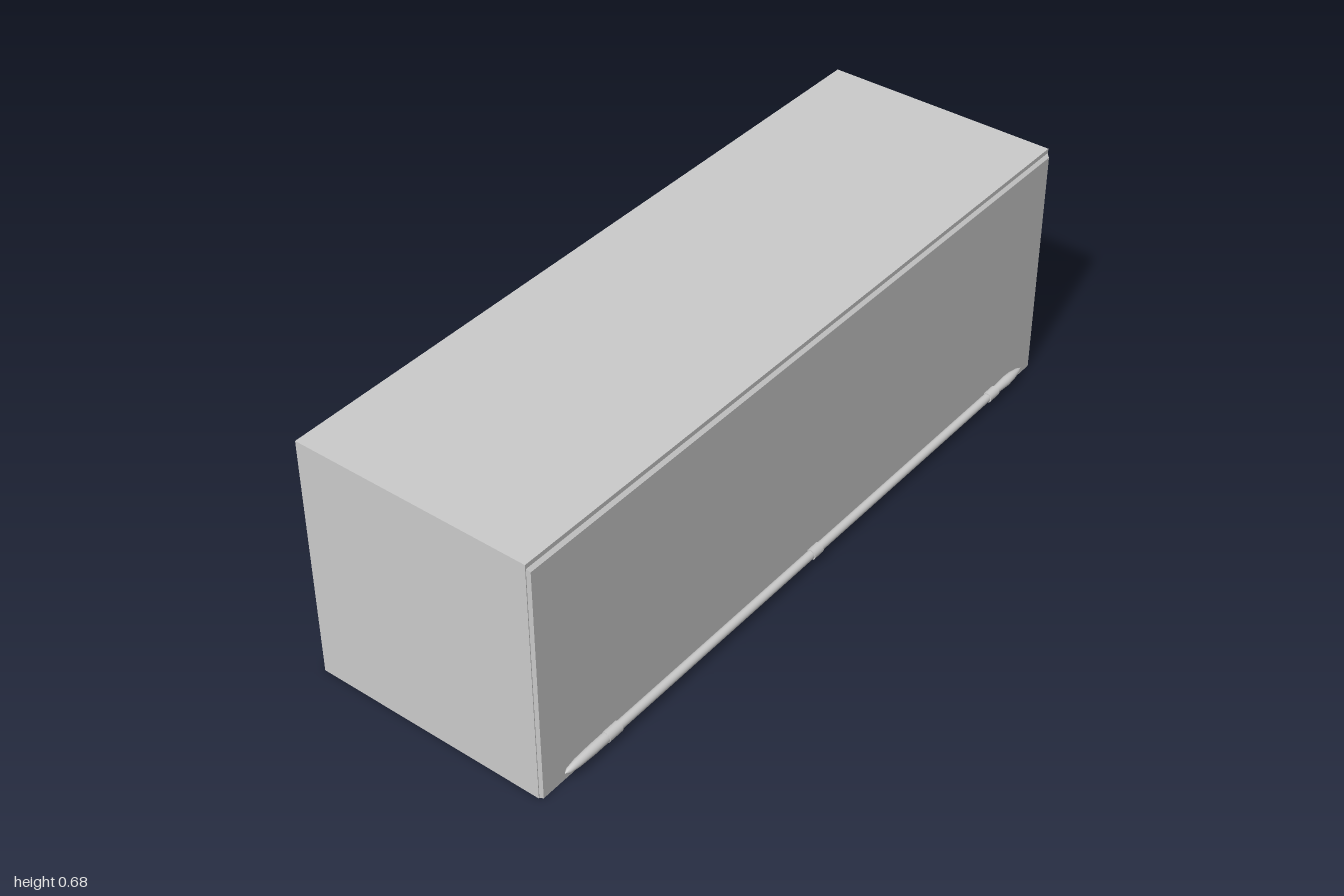
import * as THREE from 'three';

const grey = new THREE.MeshStandardMaterial({ color: 0xcccccc });

function part(name, geometry, x = 0, y = 0, z = 0) {
  const mesh = new THREE.Mesh(geometry, grey);
  mesh.name = name;
  mesh.position.set(x, y, z);
  return mesh;
}

// Thin side slab whose outer face is chamfered along the top and the ends
function sidePanelGeometry() {
  const g = new THREE.BoxGeometry(0.008, 0.663, 1.996);
  const p = g.attributes.position;
  for (let i = 0; i < p.count; i++) {
    if (p.getX(i) < 0) continue;
    if (p.getY(i) > 0) p.setY(i, p.getY(i) - 0.008);
    p.setZ(i, p.getZ(i) - Math.sign(p.getZ(i)) * 0.005);
  }
  g.computeVertexNormals();
  return g;
}

// Lathe profile of [radius, distance] pairs, turned to run along z
function turned(points) {
  const g = new THREE.LatheGeometry(points.map(([r, d]) => new THREE.Vector2(r, d)), 20);
  return g.rotateX(Math.PI / 2);
}

function createRod() {
  const rod = new THREE.Group();
  rod.name = 'sideRod';
  rod.add(part('shaft', new THREE.CylinderGeometry(0.0115, 0.0115, 1.58, 20).rotateX(Math.PI / 2)));
  // Rounded, tapering grip at one end
  rod.add(part('gripTip', turned([
    [0.0115, 0.76], [0.013, 0.79], [0.013, 0.84], [0.011, 0.89], [0.007, 0.92], [0, 0.932],
  ])));
  // Necked, pointed head at the other end
  rod.add(part('pointedTip', turned([
    [0, -0.937], [0.007, -0.92], [0.012, -0.89], [0.0135, -0.86], [0.011, -0.82], [0.0115, -0.78],
  ])));
  for (const [z, length] of [[0.77, 0.045], [0, 0.035], [-0.79, 0.04]]) {
    rod.add(part('collar', new THREE.CylinderGeometry(0.0143, 0.0143, length, 20).rotateX(Math.PI / 2), 0, 0, z));
  }
  return rod;
}

export function createModel() {
  const model = new THREE.Group();
  model.name = 'longBox';
  model.add(part('boxBody', new THREE.BoxGeometry(0.65, 0.675, 2), 0, 0.3375, 0));

  // The right side is the left side turned half way round
  for (const turn of [0, Math.PI]) {
    const side = new THREE.Group();
    side.name = turn ? 'rightSide' : 'leftSide';
    side.add(part('sidePanel', sidePanelGeometry(), 0.329, 0.3315, 0));
    const rod = createRod();
    rod.position.set(0.342, 0.031, 0);
    side.add(rod);
    side.rotation.y = turn;
    model.add(side);
  }
  return model;
}
